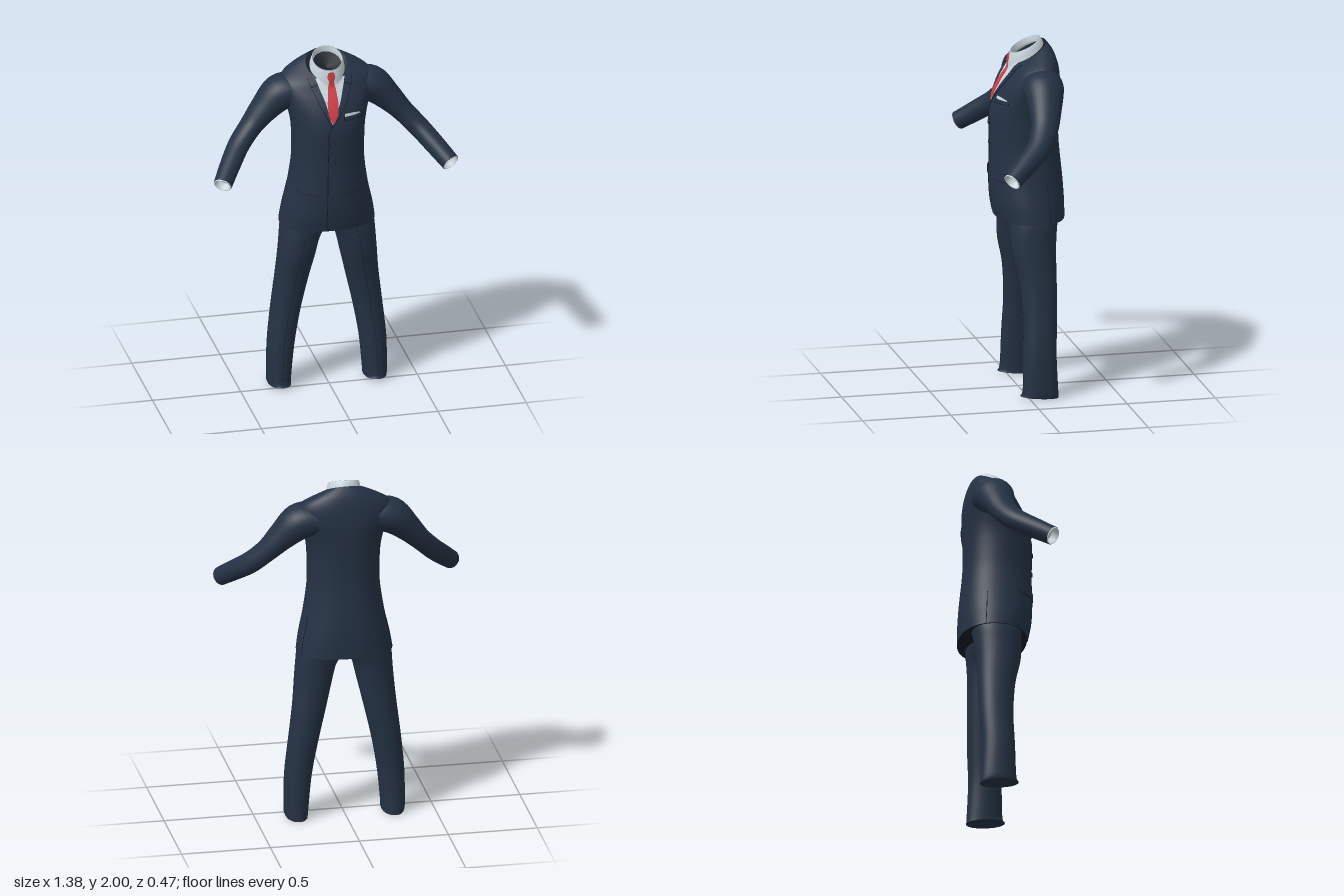
import * as THREE from 'three';

const mat = (name, color) => {
  const m = new THREE.MeshStandardMaterial({ color, side: THREE.DoubleSide });
  m.name = name;
  return m;
};
const lerp = THREE.MathUtils.lerp;
const V = (x, y, z) => new THREE.Vector3(x, y, z);

// Catmull-Rom subdivision of a table of section rows
function smooth(rows, k) {
  const out = [], at = i => rows[Math.min(Math.max(i, 0), rows.length - 1)];
  for (let i = 0; i < rows.length - 1; i++) {
    const [a, b, c, d] = [at(i - 1), at(i), at(i + 1), at(i + 2)];
    for (let j = 0; j < k; j++) {
      const t = j / k;
      out.push(b.map((p, n) => {
        const cubic = 3 * (p - c[n]) + d[n] - a[n];
        const square = 2 * a[n] - 5 * p + 4 * c[n] - d[n];
        return p + 0.5 * t * (c[n] - a[n] + t * (square + t * cubic));
      }));
    }
  }
  out.push(rows[rows.length - 1]);
  return out;
}

// Upright section: superellipse, optionally tilted down towards the front
function section(y, x0, x1, zf, zb, tilt = 0, n = 2.2, seg = 56) {
  const cx = (x0 + x1) / 2, w = (x1 - x0) / 2, cz = (zf + zb) / 2, d = (zf - zb) / 2;
  return Array.from({ length: seg }, (_, i) => {
    const a = i / seg * Math.PI * 2, c = Math.cos(a), s = Math.sin(a);
    const dz = d * Math.sign(s) * Math.abs(s) ** (2 / n);
    return V(cx + w * Math.sign(c) * Math.abs(c) ** (2 / n), y - tilt * dz, cz + dz);
  });
}

// Surface through rows of points, closed round each row or open
function grid(rows, closed) {
  const m = rows[0].length, idx = [];
  for (let i = 0; i < rows.length - 1; i++) {
    for (let j = 0; j < (closed ? m : m - 1); j++) {
      const k = (j + 1) % m, a = i * m + j, b = i * m + k;
      if (closed) idx.push(a, a + m, b, b, a + m, b + m);
      else idx.push(a, b, a + m, b, b + m, a + m);
    }
  }
  const g = new THREE.BufferGeometry().setFromPoints(rows.flat());
  g.setIndex(idx);
  g.computeVertexNormals();
  return g;
}

const centre = ring => ring.reduce((s, p) => s.add(p), V(0, 0, 0)).divideScalar(ring.length);
const scaleRing = (ring, f, shift = V(0, 0, 0)) => {
  const c = centre(ring);
  return ring.map(p => p.clone().sub(c).multiplyScalar(f).add(c).add(shift));
};

export function createModel() {
  const model = new THREE.Group();
  const suit = mat('navy suit cloth', 0x243244);
  const lining = mat('dark lining', 0x161e28);
  const seamMat = mat('dark seam', 0x111822);
  const shirt = mat('pale shirt', 0xc8d6dc);
  const tieMat = mat('red tie', 0xcc3b47);

  const add = (name, geo, m) => {
    const mesh = new THREE.Mesh(geo, m);
    mesh.name = name;
    model.add(mesh);
    return mesh;
  };
  const loft = (name, rings, m) => add(name, grid(rings, true), m);
  const cap = (name, ring, m, shift) => loft(name, [scaleRing(ring, 0.001, shift), ring], m);

  // Jacket body: y, half width, front z, back z, tilt
  const body = smooth([
    [0.985, 0.268, 0.13, -0.25, 0], [1.08, 0.252, 0.15, -0.25, 0], [1.2, 0.225, 0.158, -0.243, 0],
    [1.35, 0.203, 0.155, -0.228, 0], [1.45, 0.2, 0.156, -0.221, 0], [1.58, 0.205, 0.157, -0.222, 0],
    [1.68, 0.225, 0.135, -0.225, 0], [1.76, 0.255, 0.098, -0.225, 0], [1.82, 0.266, 0.068, -0.217, 0.1],
    [1.86, 0.248, 0.05, -0.205, 0.2], [1.885, 0.21, 0.045, -0.19, 0.35], [1.905, 0.16, 0.04, -0.17, 0.5],
    [1.92, 0.115, 0.03, -0.155, 0.6],
  ], 4).map(([y, w, zf, zb, t]) => section(y, -w, w, zf, zb, t));
  const jacket = loft('jacketBody', body, suit);
  cap('jacketHemLining', body[0], lining, V(0, 0.03, 0));
  cap('neckLining', body[body.length - 1], lining, V(0, -0.03, 0));

  // Shirt collar: outside, rolled top edge, inside
  const collar = loft('shirtCollar', [
    [1.885, 0.102, 0.052, -0.148, 0.62], [1.925, 0.094, 0.05, -0.136, 0.58],
    [1.957, 0.086, 0.042, -0.122, 0.5], [1.959, 0.081, 0.037, -0.117, 0.5], [1.925, 0.08, 0.036, -0.118, 0.5],
  ].map(([y, w, zf, zb, t]) => section(y, -w, w, zf, zb, t, 2)), shirt);

  // Front detail is laid onto the body by casting rays backwards
  const ray = new THREE.Raycaster();
  const onFront = (x, y, off) => {
    ray.set(V(x, y, 1), V(0, 0, -1));
    const hit = ray.intersectObjects([jacket, collar], false)[0];
    return V(x, y, (hit ? hit.point.z : 0) + off);
  };
  // Thin panel from rows of [y, left x, right x]
  const panel = (name, rows, m, off, k = 6, cols = 8) => {
    const pts = [];
    rows.slice(0, -1).forEach((a, i) => {
      const b = rows[i + 1];
      for (let j = i ? 1 : 0; j <= k; j++) {
        const r = a.map((v, n) => lerp(v, b[n], j / k));
        pts.push(Array.from({ length: cols + 1 }, (_, c) => onFront(lerp(r[1], r[2], c / cols), r[0], off)));
      }
    });
    add(name, grid(pts, false), m);
  };
  const tube = (name, pts, r = 0.0022) =>
    add(name, new THREE.TubeGeometry(new THREE.CatmullRomCurve3(pts), pts.length * 3, r, 5), seamMat);
  const seam = (name, pts, off) => {
    const out = [];
    pts.slice(0, -1).forEach(([x, y], i) => {
      for (let j = i ? 1 : 0; j <= 6; j++)
        out.push(onFront(lerp(x, pts[i + 1][0], j / 6), lerp(y, pts[i + 1][1], j / 6), off));
    });
    tube(name, out);
  };

  // Shirt front, collar points and tie
  panel('shirtFront', [[1.64, -0.016, -0.014], [1.75, -0.05, 0.04], [1.87, -0.083, 0.083]], shirt, 0.004, 8, 12);
  for (const s of [-1, 1]) {
    const wing = [[1.805, 0.044, 0.046], [1.85, 0.024, 0.062], [1.905, 0.008, 0.07]];
    panel('collarPoint', wing.map(([y, a, b]) => (s > 0 ? [y, a, b] : [y, -b, -a])), shirt, 0.008);
  }
  panel('tie', [[1.64, -0.011, -0.009], [1.69, -0.034, 0.02], [1.75, -0.034, 0.028], [1.82, -0.022, 0.022],
    [1.86, -0.013, 0.013], [1.885, -0.023, 0.023], [1.912, -0.015, 0.015]], tieMat, 0.011, 4);

  // Lapels with dark edges
  for (const s of [-1, 1]) {
    const rows = [[1.625, -0.018, -0.016], [1.75, 0.042, 0.078], [1.83, 0.07, 0.112], [1.875, 0.083, 0.125]]
      .map(([y, a, b], i) => (s > 0 || i === 0 ? [y, a, b] : [y, -b, -a]));
    panel('lapel', rows, suit, 0.007);
    seam('lapelEdge', rows.map(([y, a, b]) => [s > 0 ? b : a, y]), 0.006);
    seam('lapelNotch', [[s * 0.112, 1.83], [s * 0.075, 1.845]], 0.007);
  }

  // Front closing edge and buttons
  seam('frontEdge', [[-0.016, 1.635], [-0.036, 1.58], [-0.042, 1.3], [-0.045, 1.02], [-0.03, 0.99]], 0.001);
  for (const y of [1.52, 1.405]) {
    const button = add('jacketButton', new THREE.CylinderGeometry(0.013, 0.014, 0.009, 20), suit);
    button.rotation.x = Math.PI / 2;
    button.position.copy(onFront(-0.016, y, 0.003));
    const rim = add('buttonRim', new THREE.TorusGeometry(0.014, 0.002, 6, 20), seamMat);
    rim.position.copy(onFront(-0.016, y, 0.003));
  }

  // Breast pocket with folded handkerchief
  panel('breastPocket', [[1.652, 0.055, 0.165], [1.675, 0.055, 0.165]], suit, 0.006);
  seam('breastPocketEdge', [[0.055, 1.672], [0.055, 1.652], [0.165, 1.656], [0.165, 1.672]], 0.005);
  panel('pocketHandkerchief', [[1.674, 0.06, 0.155], [1.682, 0.06, 0.152], [1.69, 0.06, 0.11]], shirt, 0.005, 2);

  // Hip pocket flaps
  for (const s of [-1, 1]) {
    const [a, b] = s > 0 ? [0.05, 0.2] : [-0.2, -0.05];
    panel('pocketFlap', [[1.215, a + 0.01, b - 0.01], [1.225, a, b], [1.262, a, b]], suit, 0.008, 3, 12);
    seam('pocketFlapEdge', [[a, 1.23], [a + 0.012, 1.215], [b - 0.012, 1.215], [b, 1.23]], 0.006);
  }

  // Side vents at the back of the skirt
  for (const j of [31, 53]) tube('sideVent', body.slice(0, 9).map(r => r[j]));

  // Sleeves with shirt cuffs: centre x, y, z, radius in height, radius in depth
  const arm = smooth([
    [0.17, 1.775, -0.085, 0.09, 0.115], [0.26, 1.758, -0.085, 0.1, 0.112], [0.35, 1.677, -0.072, 0.078, 0.092],
    [0.43, 1.59, -0.05, 0.061, 0.076], [0.51, 1.505, 0.0, 0.058, 0.068], [0.58, 1.43, 0.09, 0.056, 0.06],
    [0.645, 1.358, 0.185, 0.052, 0.052],
  ], 5);
  const pos = i => V(...arm[Math.min(Math.max(i, 0), arm.length - 1)].slice(0, 3));
  for (const s of [-1, 1]) {
    const side = s > 0 ? 'left' : 'right';
    const flip = ring => (s > 0 ? ring : ring.map(p => V(-p.x, p.y, p.z)).reverse());
    const rings = arm.map((r, i) => {
      const d = pos(i + 1).sub(pos(i - 1)).normalize();
      const v = V(0, 0, 1).addScaledVector(d, -d.z).normalize(), u = d.clone().cross(v);
      return Array.from({ length: 32 }, (_, k) => {
        const a = k / 32 * Math.PI * 2;
        return pos(i).addScaledVector(u, r[3] * Math.cos(a)).addScaledVector(v, r[4] * Math.sin(a));
      });
    });
    const end = rings[rings.length - 1];
    const dir = pos(arm.length - 1).sub(pos(arm.length - 2)).normalize();
    const cuff = [[0.95, -0.01], [0.95, 0.006], [0.86, 0.006], [0.84, -0.04]]
      .map(([f, o]) => flip(scaleRing(end, f, dir.clone().multiplyScalar(o))));
    loft(side + 'Sleeve', rings.map(flip), suit);
    loft(side + 'SleeveEdge', [flip(end), flip(scaleRing(end, 0.94))], suit);
    loft(side + 'ShirtCuff', cuff, shirt);
    cap(side + 'CuffInside', cuff[3], shirt);

    // Trouser legs: y, inner x, outer x, front z, back z, tilt
    const leg = smooth([
      [0.01, 0.208, 0.332, 0.05, -0.165, -0.08], [0.05, 0.205, 0.338, 0.036, -0.162, -0.03],
      [0.25, 0.185, 0.335, 0.03, -0.155, 0], [0.45, 0.15, 0.315, 0.025, -0.165, 0],
      [0.65, 0.105, 0.291, 0.04, -0.17, 0], [0.8, 0.07, 0.277, 0.072, -0.172, 0],
      [0.9, 0.045, 0.269, 0.08, -0.178, 0], [0.975, 0.005, 0.262, 0.082, -0.188, 0],
      [1.08, -0.02, 0.235, 0.085, -0.2, 0],
    ], 4).map(([y, a, b, zf, zb, t]) => flip(section(y, a, b, zf, zb, t, 2.2, 40)));
    loft(side + 'TrouserLeg', leg, suit);
    cap(side + 'TrouserHem', leg[0], suit, V(0, 0.004, 0));
    const frontPoint = ring => ring.reduce((p, q) => (q.z > p.z ? q : p));
    tube(side + 'TrouserCrease', leg.slice(1).map(frontPoint), 0.0012);
  }
  return model;
}
